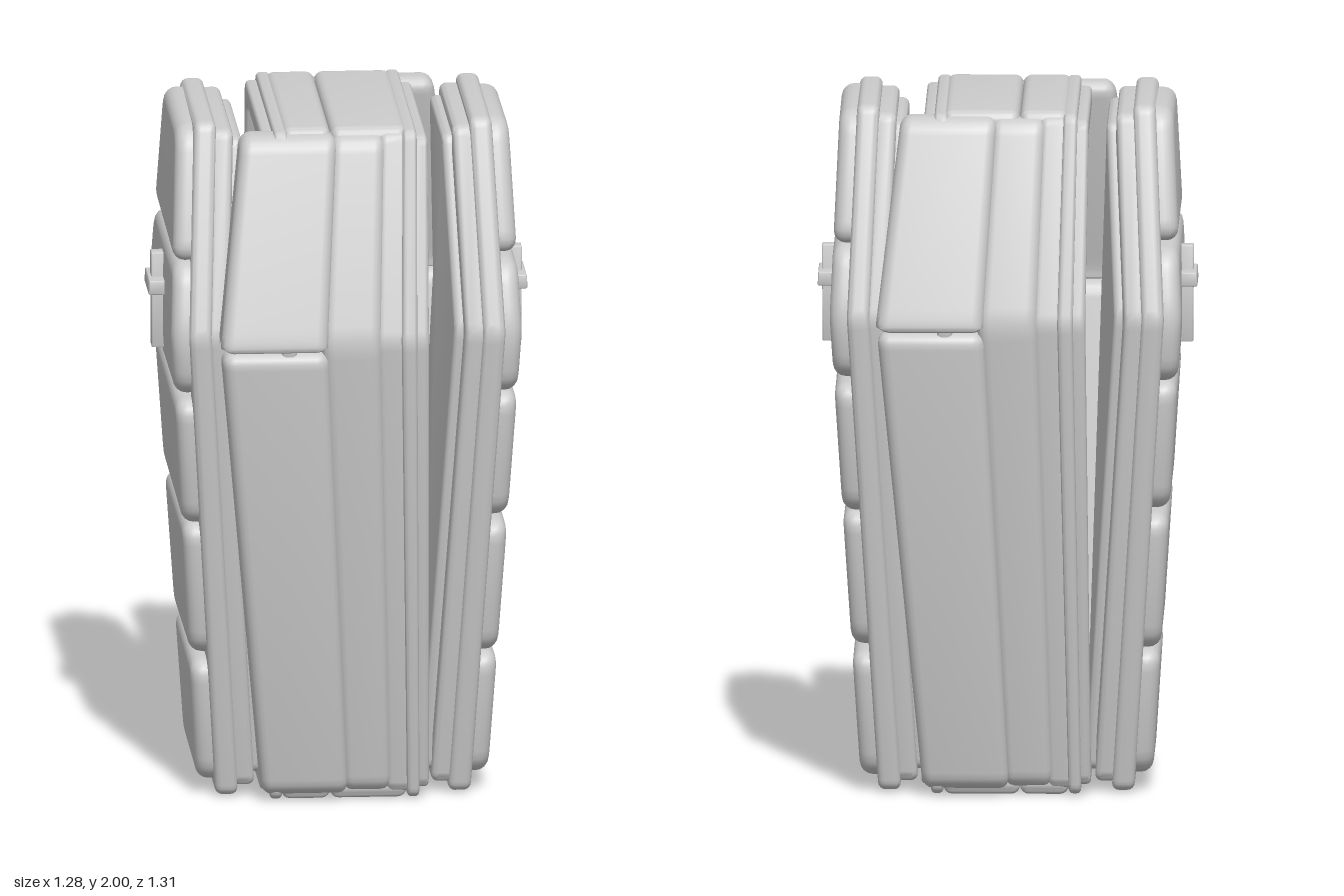
import * as THREE from 'three';
import { toCreasedNormals } from 'three/addons/utils/BufferGeometryUtils.js';

const wood = new THREE.MeshStandardMaterial({ color: 0xcccccc });
wood.name = 'pale grey wood';

const WIDE = 1.4; // height of the shoulders

// Half-width of a coffin outline [foot, shoulder, head] at height y
const half = ([foot, mid, head], y) => y < WIDE
  ? foot + (mid - foot) * y / WIDE
  : mid + (head - mid) * (y - WIDE) / (2 - WIDE);

// Six-sided coffin outline between two heights, shrunk by inset
function coffin(p, y0, y1, inset = 0) {
  const right = [[half(p, y0) - inset, y0]];
  if (y0 < WIDE && y1 > WIDE) right.push([p[1] - inset, WIDE]);
  right.push([half(p, y1) - inset, y1]);
  return [...right, ...right.map(([x, y]) => [-x, y]).reverse()];
}

// Trace a polygon with softened corners
function trace(path, pts, r) {
  const n = pts.length;
  const v = pts.map(([x, y]) => new THREE.Vector2(x, y));
  v.forEach((c, i) => {
    const toward = (q) => {
      const d = q.clone().sub(c);
      return c.clone().addScaledVector(d, Math.min(r / d.length(), 0.45));
    };
    const a = toward(v[(i + n - 1) % n]);
    const b = toward(v[(i + 1) % n]);
    if (i) path.lineTo(a.x, a.y); else path.moveTo(a.x, a.y);
    path.quadraticCurveTo(c.x, c.y, b.x, b.y);
  });
  path.closePath();
  return path;
}

// Rounded board from an outline, spanning z0..z1; warp leans it with height
function board(name, pts, z0, z1, { bevel = 0.02, round = 0.03, hole = null, warp = null } = {}) {
  const shape = trace(new THREE.Shape(), pts, round);
  if (hole) shape.holes.push(trace(new THREE.Path(), hole, round));
  const g = new THREE.ExtrudeGeometry(shape, {
    depth: z1 - z0 - 2 * bevel, bevelThickness: bevel, bevelSize: bevel,
    bevelOffset: -bevel, bevelSegments: 4, curveSegments: 5,
  });
  g.translate(0, 0, z0 + bevel);
  if (warp) {
    const p = g.attributes.position;
    for (let i = 0; i < p.count; i++) p.setZ(i, warp(p.getZ(i), p.getY(i)));
  }
  const mesh = new THREE.Mesh(toCreasedNormals(g, 0.7), wood);
  mesh.name = name;
  return mesh;
}

const box = (x0, x1, y0, y1) => [[x0, y0], [x1, y0], [x1, y1], [x0, y1]];

// Lids lean in toward the foot and a little toward the head
const lidLean = (z, y) => z - (y < WIDE ? 0.063 * (WIDE - y) : 0.045 * (y - WIDE));
// Walls grow shallower away from the shoulders, mostly on their deep side
const wallTaper = (z, y) => z - (z + 0.3) * (y < WIDE ? 0.142 * (WIDE - y) : 0.18 * (y - WIDE));

function makeLid() {
  const lid = new THREE.Group();
  const outline = [0.285, 0.47, 0.275];
  const o = { warp: lidLean };

  // Inner panel, backing and rim
  lid.add(board('lidInnerPanel', coffin(outline, 0.06, 1.94, 0.05), 0.31, 0.365, o));
  lid.add(board('lidBacking', coffin(outline, 0.03, 1.97, 0.015), 0.34, 0.405, o));
  lid.add(board('lidRim', coffin(outline, 0.005, 1.995), 0.39, 0.455, o));

  // Five cushioned planks with slightly uneven edges
  const planks = [[0.045, 0.415], [0.425, 0.825], [0.83, 1.21], [1.217, 1.6], [1.607, 1.98]];
  planks.forEach(([y0, y1], i) => {
    const pts = coffin(outline, y0, y1, 0.025);
    const skew = 0.005 * (i % 2 ? 1 : -1);
    pts.forEach((p) => { if (p[1] !== WIDE) p[1] += skew * Math.sign(p[0]); });
    lid.add(board('lidPlank', pts, 0.41, 0.505, { bevel: 0.035, round: 0.07, warp: lidLean }));
  });

  // Cross
  const cross = { bevel: 0.004, round: 0.003, warp: lidLean };
  lid.add(board('crossUpright', box(-0.024, 0.024, 1.27, 1.55), 0.485, 0.54, cross));
  lid.add(board('crossBar', box(-0.085, 0.085, 1.44, 1.48), 0.483, 0.547, cross));
  return lid;
}

// One side wall: wide plank, recessed plank and the rim of one opening
function makeWall() {
  const wall = new THREE.Group();
  const outline = [0.35, 0.55, 0.37];
  const strip = (y0, y1, out, thick) => {
    const ys = y0 < WIDE && y1 > WIDE ? [y0, WIDE, y1] : [y0, y1];
    const at = (d) => ys.map((y) => [half(outline, y) + d, y]);
    return [...at(out), ...at(out - thick).reverse()];
  };
  const soft = { bevel: 0.035, round: 0.05, warp: wallTaper };
  wall.add(board('upperSidePlank', strip(1.375, 1.975, 0.015, 0.13), 0.06, 0.37, soft));
  wall.add(board('lowerSidePlank', strip(0.02, 1.375, 0.015, 0.13), 0.06, 0.37, soft));
  wall.add(board('recessedPlank', strip(0.025, 1.97, 0, 0.1), -0.095, 0.08, soft));
  wall.add(board('edgePlank', strip(0.02, 1.975, -0.015, 0.08), -0.17, -0.075,
    { bevel: 0.025, round: 0.03, warp: wallTaper }));

  // Double rim round the opening
  const o = { bevel: 0.015, round: 0.03, warp: wallTaper };
  wall.add(board('openingRim', coffin(outline, 0.005, 1.985), -0.195, -0.15,
    { ...o, hole: coffin(outline, 0.06, 1.93, 0.06) }));
  wall.add(board('openingInnerRim', coffin(outline, 0.03, 1.965, 0.02), -0.23, -0.18,
    { ...o, hole: coffin(outline, 0.09, 1.9, 0.08) }));
  return wall;
}

export function createModel() {
  const model = new THREE.Group();
  model.name = 'coffin';

  // Two lids and two walls, each pair turned half a circle apart
  for (const [name, turn] of [['front', 0], ['back', Math.PI]]) {
    const lid = makeLid();
    lid.name = name + 'Lid';
    lid.rotation.y = turn;
    const wall = makeWall();
    wall.name = name + 'Wall';
    wall.rotation.y = turn;
    model.add(lid, wall);
  }

  // Head and foot boards
  const o = { bevel: 0.025, round: 0.03 };
  for (const [z0, z1] of [[-0.18, 0.04], [0.04, 0.18]]) {
    model.add(board('headPlank', box(-0.35, 0.35, 1.9, 1.99), z0, z1, o));
    model.add(board('footPlank', box(-0.33, 0.33, 0, 0.09), z0, z1, o));
  }

  // The whole piece stands turned on its spot
  model.rotation.y = -0.666;
  const root = new THREE.Group();
  root.name = 'coffinRoot';
  root.add(model);
  return root;
}
